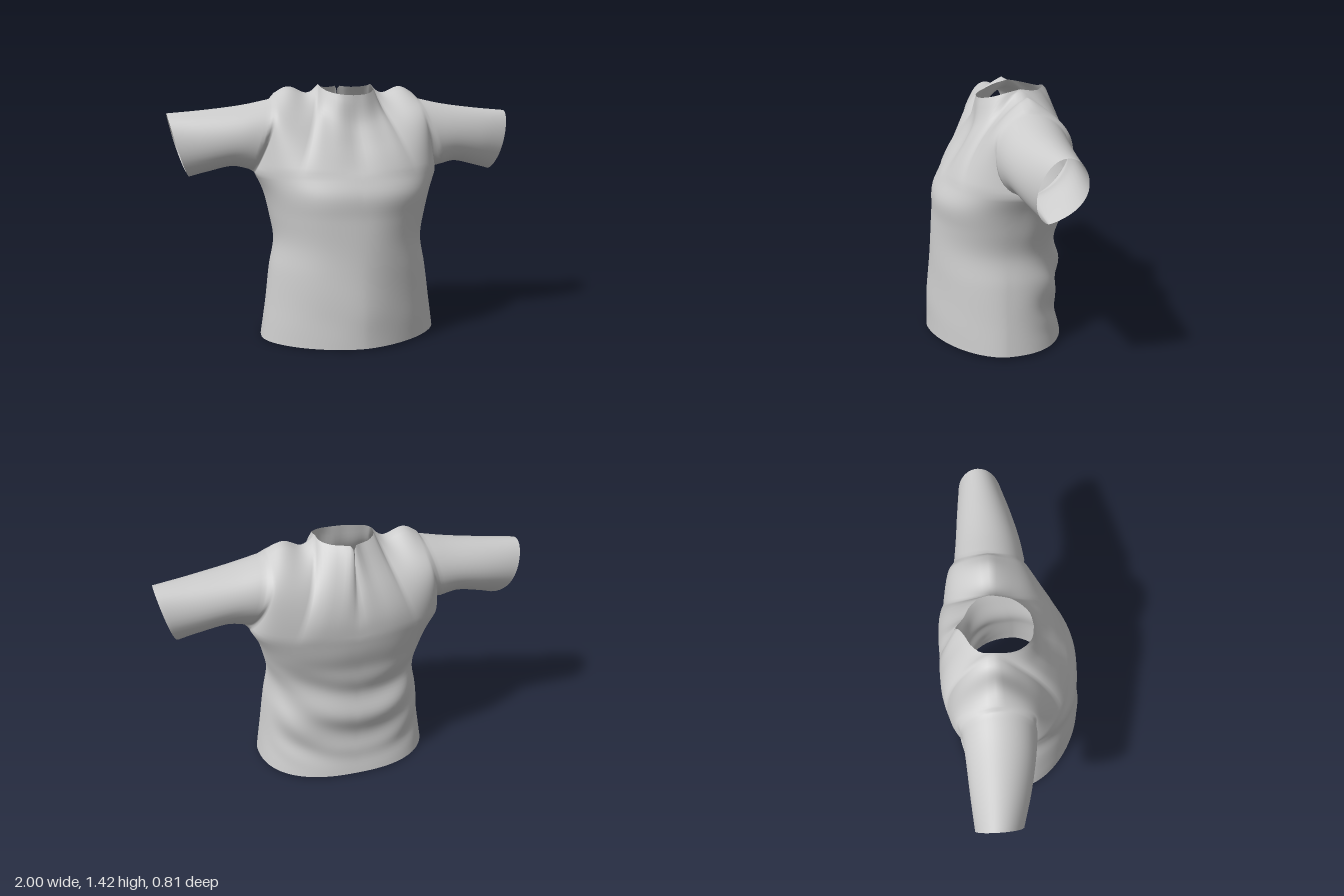
import * as THREE from 'three';
import { mergeGeometries, mergeVertices } from 'three/addons/utils/BufferGeometryUtils.js';

const V = (x, y, z) => new THREE.Vector3(x, y, z);
const lerp = THREE.MathUtils.lerp;
const step = THREE.MathUtils.smoothstep;
const curve = (...pts) => new THREE.CatmullRomCurve3(pts.map(p => V(...p)));

// Smooth lookup in rows of [key, a, b, ...]
function profile(rows) {
  const f = new THREE.CubicInterpolant(rows.map(r => r[0]), rows.flatMap(r => r.slice(1)), rows[0].length - 1);
  return t => Array.from(f.evaluate(t));
}

// Surface grid from fn(u, v), optionally mirrored in x
function grid(fn, nu, nv, flip, side) {
  const pos = [], idx = [], out = flip !== (side < 0);
  for (let j = 0; j <= nv; j++) for (let i = 0; i <= nu; i++) {
    const p = fn(i / nu, j / nv);
    pos.push(p.x * side, p.y, p.z);
  }
  for (let j = 0; j < nv; j++) for (let i = 0; i < nu; i++) {
    const a = j * (nu + 1) + i, b = a + 1, c = a + nu + 1, d = c + 1;
    if (out) idx.push(a, d, b, a, c, d);
    else idx.push(a, b, d, a, d, c);
  }
  const g = new THREE.BufferGeometry();
  g.setAttribute('position', new THREE.Float32BufferAttribute(pos, 3));
  g.setIndex(idx);
  return g;
}

// Torso sections: height, half width, front z, back z, side seam z, front squareness
const CHEST = 0.93;
const torso = profile([
  [0, 0.505, 0.404, -0.367, 0.02, 1.18],
  [0.18, 0.48, 0.397, -0.33, 0.02, 1.15],
  [0.4, 0.45, 0.38, -0.352, 0.01, 1.08],
  [0.56, 0.423, 0.365, -0.335, 0, 1],
  [0.7, 0.445, 0.355, -0.355, -0.04, 0.92],
  [0.83, 0.478, 0.347, -0.388, -0.08, 0.86],
  [CHEST, 0.525, 0.297, -0.403, -0.11, 0.85]
]);

// Quarter section, u = 0 at the centre line and 1 at the side seam
function section(u, y, back) {
  const [w, zf, zb, zs, square] = torso(y);
  const e = back ? 0.82 : square, t = u * Math.PI / 2;
  const c = u === 1 ? 0 : Math.cos(t) ** e;
  return V(w * Math.sin(t) ** e, y, lerp(zs, back ? zb : zf, c));
}

// Armhole edge from underarm (0) to shoulder (1)
function armhole(v, back) {
  const s = v === 1 ? 0 : Math.sin(Math.PI * v);
  return V(0.525 - 0.115 * Math.sin(v * Math.PI / 2),
    CHEST + 0.44 * v + 0.04 * s,
    -0.11 + (back ? -0.2 : 0.19) * s ** 0.8);
}

// Shoulder line, and front and back neckline; the back one dips into a narrow slit
const shoulder = new THREE.LineCurve3(V(0.155, 1.42, -0.11), V(0.41, 1.37, -0.11));
const neck = [
  curve([0, 1.36, 0.1], [0.07, 1.365, 0.085], [0.125, 1.38, 0.03], [0.15, 1.4, -0.03], [0.155, 1.42, -0.11]),
  curve([0, 1.28, -0.316], [0.008, 1.405, -0.283], [0.045, 1.403, -0.25], [0.1, 1.403, -0.22], [0.145, 1.41, -0.17], [0.155, 1.42, -0.11])
];
const centre = [
  curve([0, CHEST, 0.297], [0, 1.02, 0.232], [0, 1.12, 0.165], [0, 1.22, 0.118], [0, 1.36, 0.1]),
  curve([0, CHEST, -0.403], [0, 1.01, -0.4], [0, 1.09, -0.382], [0, 1.18, -0.351], [0, 1.28, -0.316])
];

// Yoke panel blended between chest, armhole, neckline with shoulder, and centre line
function yoke(u, v, back) {
  const k = back ? 1 : 0;
  const top = t => t <= 0.4 ? neck[k].getPoint(t / 0.4) : shoulder.getPoint((t - 0.4) / 0.6);
  const B = section(u, CHEST, back), T = top(u);
  const C = centre[k].getPoint(v), S = armhole(v, back);
  const low = section(0, CHEST, back).lerp(section(1, CHEST, back), u);
  const high = top(0).lerp(top(1), u);
  const p = C.lerp(S, u).add(B.lerp(T, v)).sub(low.lerp(high, v));
  // dip and bump in the cloth along the shoulder line
  const t = Math.max(0, (u - 0.4) / 0.6);
  p.y -= 0.04 * Math.sin(2 * Math.PI * t) * (1 - 0.6 * t) * v ** 5;
  return p;
}

// Cloth folds: hanging swags low on the back, faint ripples, slightly skewed waist and hem
function addFolds(g) {
  const p = g.attributes.position;
  for (let i = 0; i < p.count; i++) {
    const x = p.getX(i), y = p.getY(i), z = p.getZ(i);
    const back = step(-z, 0.06, 0.28) * step(y, 0.04, 0.2) * (1 - step(y, 0.55, 0.8));
    const swag = Math.cos(24 * (y - 0.4 - 1.2 * x * x - 0.12 * x));
    const faint = step(y, 0, 0.2) * (1 - step(y, 0.75, 0.92));
    const ripple = 0.003 * Math.sin(13 * x + 7 * y) * Math.sin(9 * y - 5 * x);
    p.setXYZ(i,
      x - 0.01 * (1 - step(y, 0.55, 0.92)),
      y + (0.01 + 0.018 * x) * (1 - step(y, 0, 0.5)),
      z - 0.01 * back * swag + faint * ripple * Math.sign(z));
  }
}

// Sleeve rows: position, top x, top y, bottom x, bottom y, front z, back z
const sleeveRows = profile([
  [0.12, 0.435, 1.338, 0.565, 0.955, 0.08, -0.3],
  [0.35, 0.58, 1.308, 0.65, 0.972, 0.064, -0.287],
  [0.7, 0.8, 1.28, 0.78, 0.946, 0.027, -0.273],
  [1, 1, 1.262, 0.89, 0.917, -0.018, -0.258]
]);

// Sleeve ring from underarm over the front to the top and down the back, pinched below
function sleevePoint(u, v) {
  const back = u > 0.5, a = back ? 2 - 2 * u : 2 * u;
  const [tx, ty, bx, by, zf, zb] = sleeveRows(Math.max(v, 0.12));
  const h = (1 - Math.cos(Math.PI * a)) / 2;
  const s = a === 1 ? 0 : Math.sin(Math.PI * a) ** (1 + 0.5 * v * (1 - h));
  const p = V(lerp(bx, tx, h ** 0.75), lerp(by, ty, h),
    (zf + zb) / 2 + (back ? -1 : 1) * (zf - zb) / 2 * s + 0.055 * (1 - h) ** 3);
  return v < 0.12 ? armhole(a, back).lerp(p, v / 0.12) : p;
}

export function createModel() {
  const shirt = new THREE.Group();
  shirt.name = 'shirt';

  // Lower torso, yoke and open sleeve for each half, sewn into one smooth cloth
  const panels = [];
  for (const side of [1, -1]) {
    for (const back of [false, true]) {
      panels.push(grid((u, v) => section(u, v * CHEST, back), 30, 40, back, side));
      panels.push(grid((u, v) => yoke(u, v, back), 30, 20, back, side));
    }
    panels.push(grid(sleevePoint, 40, 25, true, side));
  }
  const sewn = mergeGeometries(panels);
  addFolds(sewn);
  const geometry = mergeVertices(sewn, 1e-4);
  geometry.computeVertexNormals();

  const cloth = new THREE.Mesh(geometry, new THREE.MeshStandardMaterial({ color: 0xcccccc, side: THREE.DoubleSide }));
  cloth.name = 'bodyAndSleeves';
  shirt.add(cloth);
  return shirt;
}
